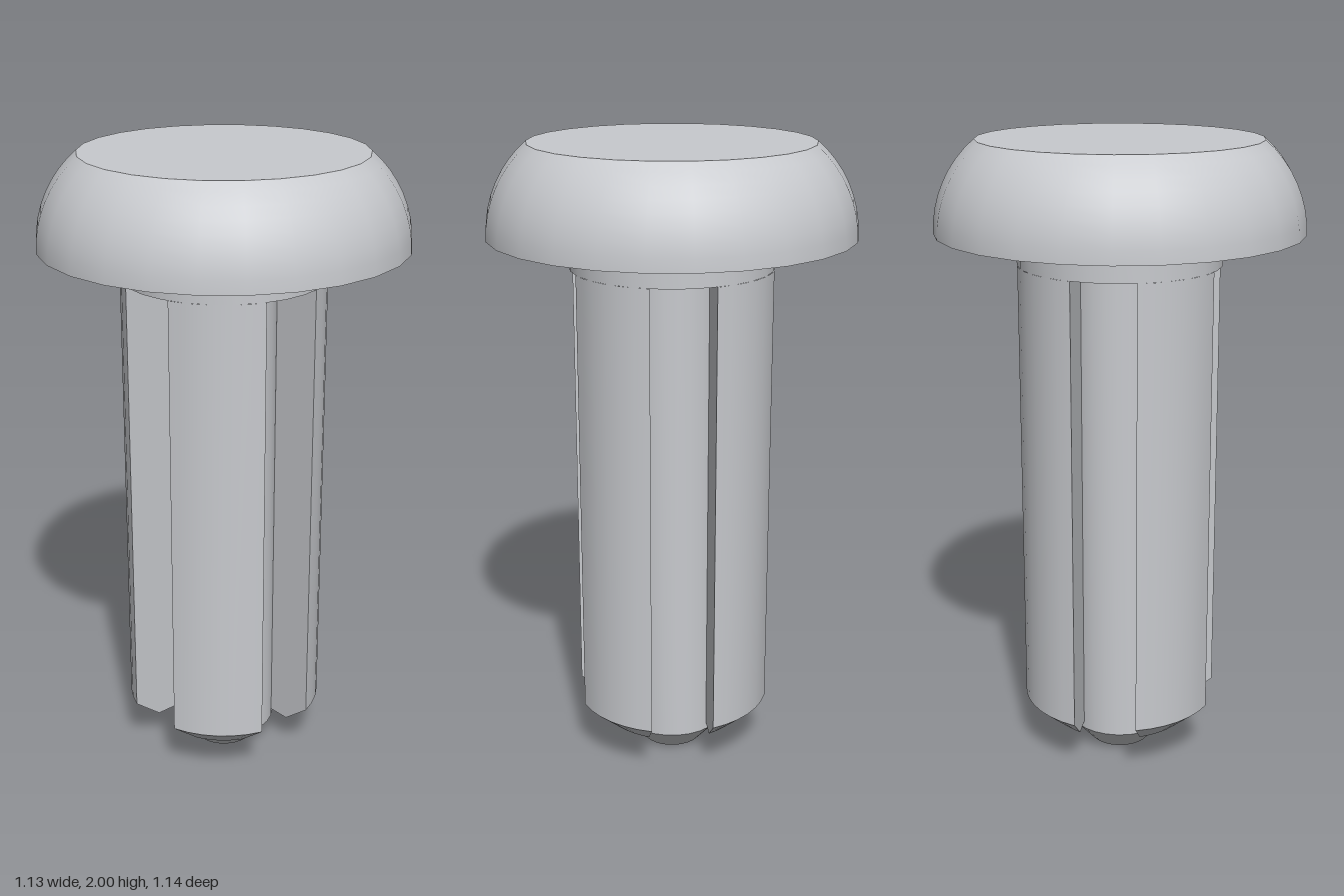
import * as THREE from 'three';
import { toCreasedNormals } from 'three/addons/utils/BufferGeometryUtils.js';

const SEGMENTS = 26;
const SHAFT_R = 0.317;
const SLOT = 0.099; // half width of the slots between the legs
const SLOT_TOP = 1.62;

function lathe(points) {
  const profile = points.map(([r, y]) => new THREE.Vector2(r, y));
  return toCreasedNormals(new THREE.LatheGeometry(profile, SEGMENTS), 0.5);
}

// Outline of one leg: a quarter of a disc of radius r, with its sides cut back by the slots
function legOutline(r, y) {
  const steps = 6;
  const start = Math.asin(SLOT / r);
  const end = Math.PI / 2 - start;
  const ring = [[SLOT, y, SLOT]];
  for (let i = 0; i <= steps; i++) {
    const a = start + (end - start) * i / steps;
    ring.push([r * Math.cos(a), y, r * Math.sin(a)]);
  }
  return ring;
}

function legGeometry() {
  const rings = [legOutline(0.229, 0.1), legOutline(SHAFT_R, 0.175), legOutline(SHAFT_R, SLOT_TOP)];
  const n = rings[0].length;
  const index = [];
  for (let k = 0; k < rings.length - 1; k++) {
    for (let i = 0; i < n; i++) {
      const j = (i + 1) % n;
      const a = k * n + i, b = k * n + j, c = a + n, d = b + n;
      index.push(a, c, b, b, c, d);
    }
  }
  for (let i = 1; i < n - 1; i++) index.push(0, i, i + 1); // bottom face
  const geometry = new THREE.BufferGeometry();
  geometry.setAttribute('position', new THREE.Float32BufferAttribute(rings.flat(2), 3));
  geometry.setIndex(index);
  return toCreasedNormals(geometry, 0.5);
}

export function createModel() {
  const group = new THREE.Group();
  const plastic = new THREE.MeshStandardMaterial({ color: 0xc8cace });
  plastic.name = 'light grey plastic';

  const add = (name, geometry) => {
    const mesh = new THREE.Mesh(geometry, plastic);
    mesh.name = name;
    group.add(mesh);
    return mesh;
  };

  // Domed head with a flat top and a recess underneath
  const headProfile = [[0, 1.85], [0.37, 1.85], [0.405, 1.79], [0.42, 1.72]];
  const arcR = 0.365, arcEnd = Math.asin(0.28 / arcR);
  for (let i = 0; i <= 8; i++) {
    const a = arcEnd * i / 8;
    headProfile.push([0.203 + arcR * Math.cos(a), 1.72 + arcR * Math.sin(a)]);
  }
  headProfile.push([0, 2]);
  add('head', lathe(headProfile));

  // Solid neck above the slots
  add('neck', lathe([[0, SLOT_TOP], [SHAFT_R, SLOT_TOP], [SHAFT_R, 1.86]]));

  // Central pin with a tapered tip
  add('pin', lathe([[0, 0], [0.097, 0], [0.166, 0.077], [0.166, SLOT_TOP]]));

  // Four legs with chamfered ends
  const leg = legGeometry();
  for (let k = 0; k < 4; k++) add('leg' + (k + 1), leg).rotation.y = k * Math.PI / 2;

  return group;
}
